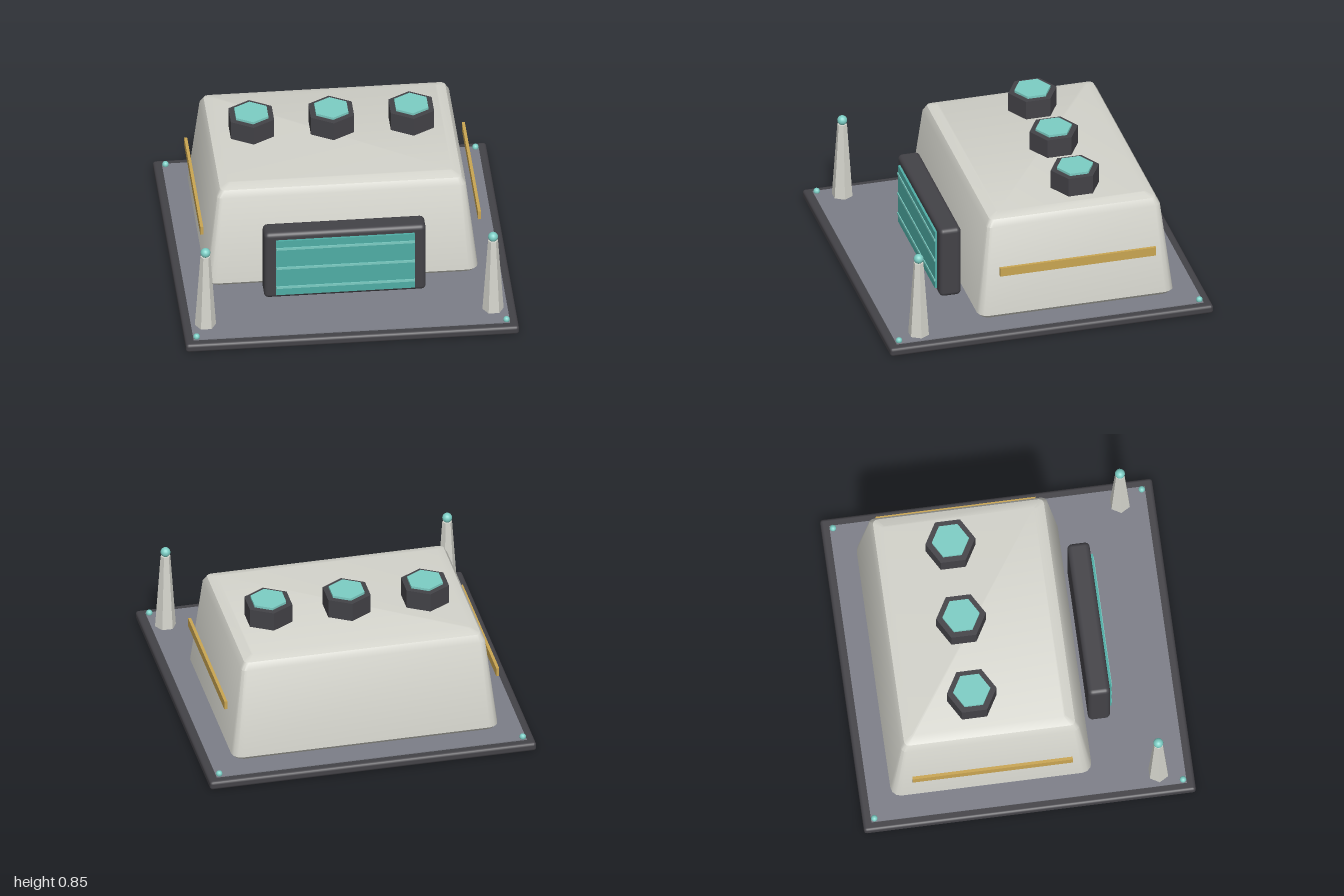
import * as THREE from 'three';
import { toCreasedNormals } from 'three/addons/utils/BufferGeometryUtils.js';
import { RoundedBoxGeometry } from 'three/addons/geometries/RoundedBoxGeometry.js';

const paint = (name, color) => {
  const m = new THREE.MeshStandardMaterial({ color });
  m.name = name;
  return m;
};

// Flat-sided six-sided column
function hexColumn(rTop, rBottom, height) {
  const g = new THREE.CylinderGeometry(rTop, rBottom, height, 6).toNonIndexed();
  g.computeVertexNormals();
  return g;
}

// Tapered shell: rounded rectangles stacked as [height, inset] rings
function taperedShell(halfX, halfZ, radius, rings) {
  const pos = [], index = [];
  const corners = [[1, 1], [-1, 1], [-1, -1], [1, -1]];
  const steps = 3, n = corners.length * (steps + 1);
  for (const [y, inset] of rings) {
    const r = Math.max(0.005, radius - inset * 0.35);
    corners.forEach(([sx, sz], c) => {
      for (let k = 0; k <= steps; k++) {
        const a = (c + k / steps) * Math.PI / 2;
        pos.push(sx * (halfX - inset - r) + r * Math.cos(a), y, sz * (halfZ - inset - r) + r * Math.sin(a));
      }
    });
  }
  const top = (rings.length - 1) * n;
  for (let j = 0; j < rings.length - 1; j++) {
    for (let i = 0; i < n; i++) {
      const a = j * n + i, b = j * n + (i + 1) % n;
      index.push(a, a + n, b, b, a + n, b + n);
    }
  }
  for (let i = 1; i < n - 1; i++) index.push(top, top + i + 1, top + i, 0, i, i + 1);
  const g = new THREE.BufferGeometry();
  g.setAttribute('position', new THREE.Float32BufferAttribute(pos, 3));
  g.setIndex(index);
  return toCreasedNormals(g, 0.6);
}

export function createModel() {
  const dark = paint('dark trim', 0x434247);
  const slate = paint('slate deck', 0x7c7e87);
  const shell = paint('pale shell', 0xd4d4cc);
  const glow = paint('light teal', 0x7ccdc4);
  const glass = paint('teal screen', 0x4fada5);
  const gold = paint('gold', 0xc9a552);

  const model = new THREE.Group();
  model.name = 'building';
  const add = (name, geometry, material, x, y, z, parent = model) => {
    const mesh = new THREE.Mesh(geometry, material);
    mesh.name = name;
    mesh.position.set(x, y, z);
    parent.add(mesh);
    return mesh;
  };
  const box = (w, h, d) => new THREE.BoxGeometry(w, h, d);

  // Ground slab with inset deck
  add('baseSlab', new RoundedBoxGeometry(2, 0.055, 2, 2, 0.018), dark, 0, 0.0275, 0);
  add('deck', box(1.9, 0.02, 1.9), slate, 0, 0.05, 0);

  // Main tapered body
  add('body', taperedShell(0.815, 0.605, 0.06, [
    [0.062, 0.02], [0.085, 0], [0.647, 0.066], [0.69, 0.09], [0.71, 0.145],
  ]), shell, 0, 0, -0.205);

  // Roof vents
  for (const x of [-0.48, 0, 0.48]) {
    const vent = new THREE.Group();
    vent.name = 'roofVent';
    vent.position.set(x, 0, -0.283);
    model.add(vent);
    add('ventHousing', hexColumn(0.15, 0.15, 0.13), dark, 0, 0.765, 0, vent);
    add('ventLight', hexColumn(0.112, 0.112, 0.025), glow, 0, 0.8325, 0, vent);
  }

  // Front display with three bright lines
  add('displayFrame', new RoundedBoxGeometry(0.97, 0.46, 0.133, 3, 0.028), dark, 0, 0.288, 0.4865);
  add('displayScreen', box(0.832, 0.385, 0.018), glass, 0, 0.282, 0.558);
  for (const y of [0.145, 0.282, 0.42]) add('displayLine', box(0.832, 0.016, 0.008), glow, 0, y, 0.568);

  for (const side of [-1, 1]) {
    // Side stripe
    add('sideStripe', box(0.018, 0.055, 0.965), gold, side * 0.833, 0.388, -0.204);

    // Front beacon post
    const post = add('beaconPost', hexColumn(0.03, 0.064, 0.49), shell, side * 0.863, 0.303, 0.79);
    post.rotation.y = Math.PI / 6;
    add('beaconLamp', new THREE.SphereGeometry(0.03, 16, 12), glow, side * 0.863, 0.573, 0.79);

    // Deck corner lights
    for (const z of [-0.93, 0.93]) {
      add('cornerLight', new THREE.SphereGeometry(0.02, 12, 8), glow, side * 0.93, 0.069, z);
    }
  }
  return model;
}
